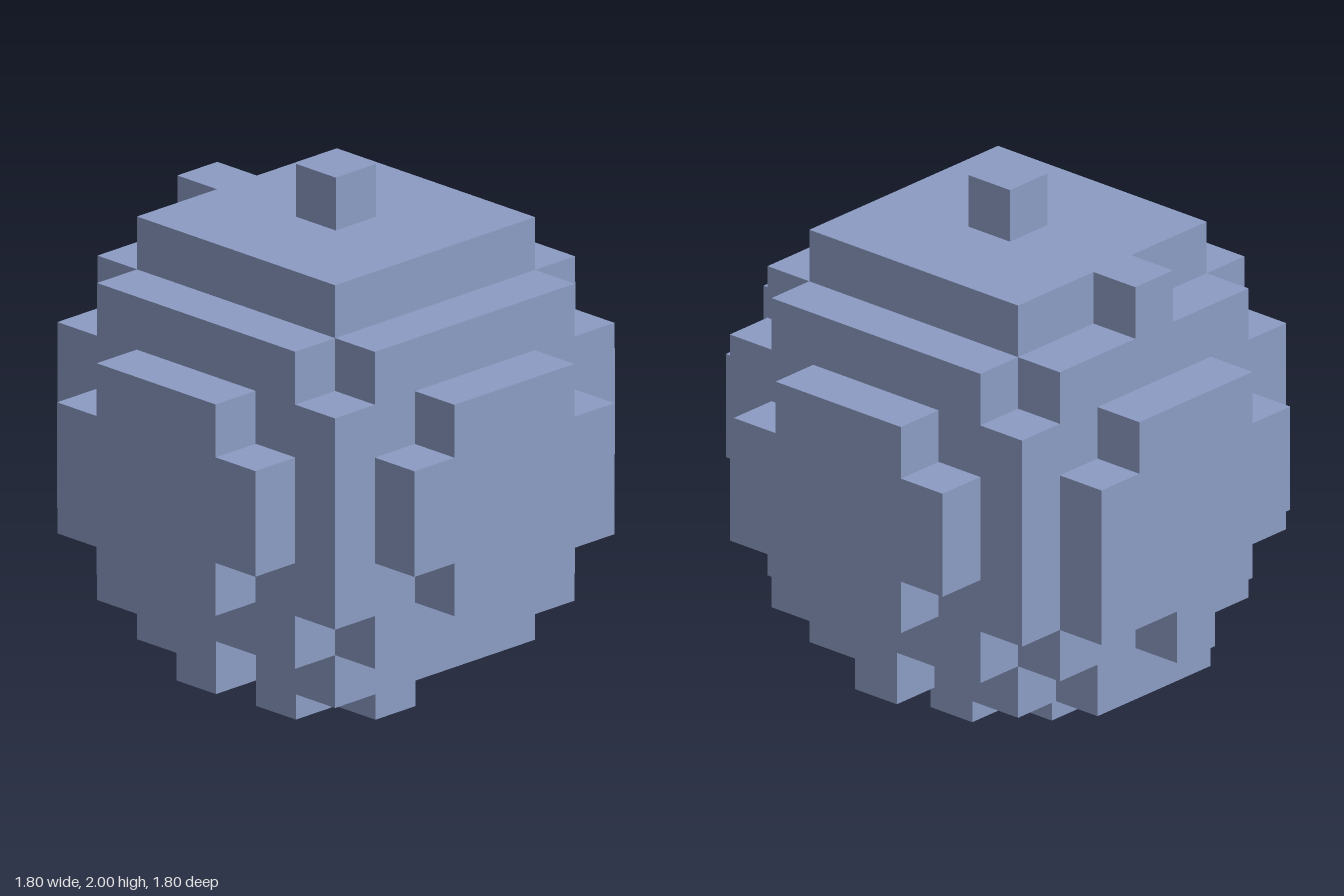
import * as THREE from 'three';

// Blocky round body made of 0.2 unit blocks; only the outer skin of faces is built.
const U = 0.2;

// Each part is a list of boxes: [x0, x1, y0, y1, z0, z1], in block edges.
// x and z are counted from the centre in half blocks, y in whole blocks.
const parts = {
  core: [[-7, 7, 3, 7, -7, 7]],
  upperRing: [[-7, 7, 7, 8, -5, 5], [-5, 5, 7, 8, -7, 7]],
  lowerRing: [[-7, 7, 2, 3, -5, 5], [-5, 5, 2, 3, -7, 7]],
  crown: [[-5, 5, 8, 9, -5, 5], [-1, 1, 8, 9, -7, -5]],
  topKnob: [[-1, 1, 9, 10, -1, 1]],
  base: [[-5, 5, 1, 2, -5, 5], [-7, 7, 1, 2, -1, 1], [-3, 3, 1, 2, -7, -5]],
  foot: [[-3, 3, 0, 1, -1, 1], [-1, 1, 0, 1, -3, 3]],
  frontPlate: [[-5, 5, 4, 6, 7, 9], [-3, 3, 3, 7, 7, 9]],
  backPlate: [[-5, 5, 4, 6, -9, -7], [-3, 3, 3, 7, -9, -7], [3, 5, 3, 4, -9, -7], [-1, 1, 2, 3, -9, -7]],
  leftPlate: [[7, 9, 4, 6, -5, 5], [7, 9, 3, 7, -3, 3]],
  rightPlate: [[-9, -7, 4, 6, -5, 5], [-9, -7, 3, 7, -3, 3]],
};

// Outward normal and two in-plane axes (u x v = n) for the six block sides
const sides = [
  [[1, 0, 0], [0, 1, 0], [0, 0, 1]], [[-1, 0, 0], [0, 0, 1], [0, 1, 0]],
  [[0, 1, 0], [0, 0, 1], [1, 0, 0]], [[0, -1, 0], [1, 0, 0], [0, 0, 1]],
  [[0, 0, 1], [1, 0, 0], [0, 1, 0]], [[0, 0, -1], [0, 1, 0], [1, 0, 0]],
];

// Collect the block cells of a part
function cellsOf(boxes) {
  const cells = new Map();
  for (const [x0, x1, y0, y1, z0, z1] of boxes)
    for (let x = x0 + 1; x < x1; x += 2)
      for (let y = y0; y < y1; y++)
        for (let z = z0 + 1; z < z1; z += 2) {
          const c = [x / 2, y, z / 2];
          cells.set(c.join(), c);
        }
  return cells;
}

// Skin a part: one quad for every block side that touches no other block
function skin(cells, filled) {
  const position = [], normal = [], index = [];
  for (const c of cells.values())
    for (const [n, u, v] of sides) {
      if (filled.has(c.map((k, i) => k + n[i]).join())) continue;
      const first = position.length / 3;
      for (const [a, b] of [[-1, -1], [1, -1], [1, 1], [-1, 1]]) {
        c.forEach((k, i) => {
          const centre = i === 1 ? k + 0.5 : k;
          position.push(U * (centre + (n[i] + a * u[i] + b * v[i]) / 2));
        });
        normal.push(...n);
      }
      index.push(first, first + 1, first + 2, first, first + 2, first + 3);
    }
  const geometry = new THREE.BufferGeometry();
  geometry.setAttribute('position', new THREE.Float32BufferAttribute(position, 3));
  geometry.setAttribute('normal', new THREE.Float32BufferAttribute(normal, 3));
  geometry.setIndex(index);
  return geometry;
}

export function createModel() {
  const model = new THREE.Group();
  model.name = 'blockBall';
  const slateBlue = new THREE.MeshStandardMaterial({ color: 0x8c9cc4 });
  slateBlue.name = 'slateBlue';

  const filled = new Set(cellsOf(Object.values(parts).flat()).keys());
  for (const [name, boxes] of Object.entries(parts)) {
    const mesh = new THREE.Mesh(skin(cellsOf(boxes), filled), slateBlue);
    mesh.name = name;
    model.add(mesh);
  }
  return model;
}
